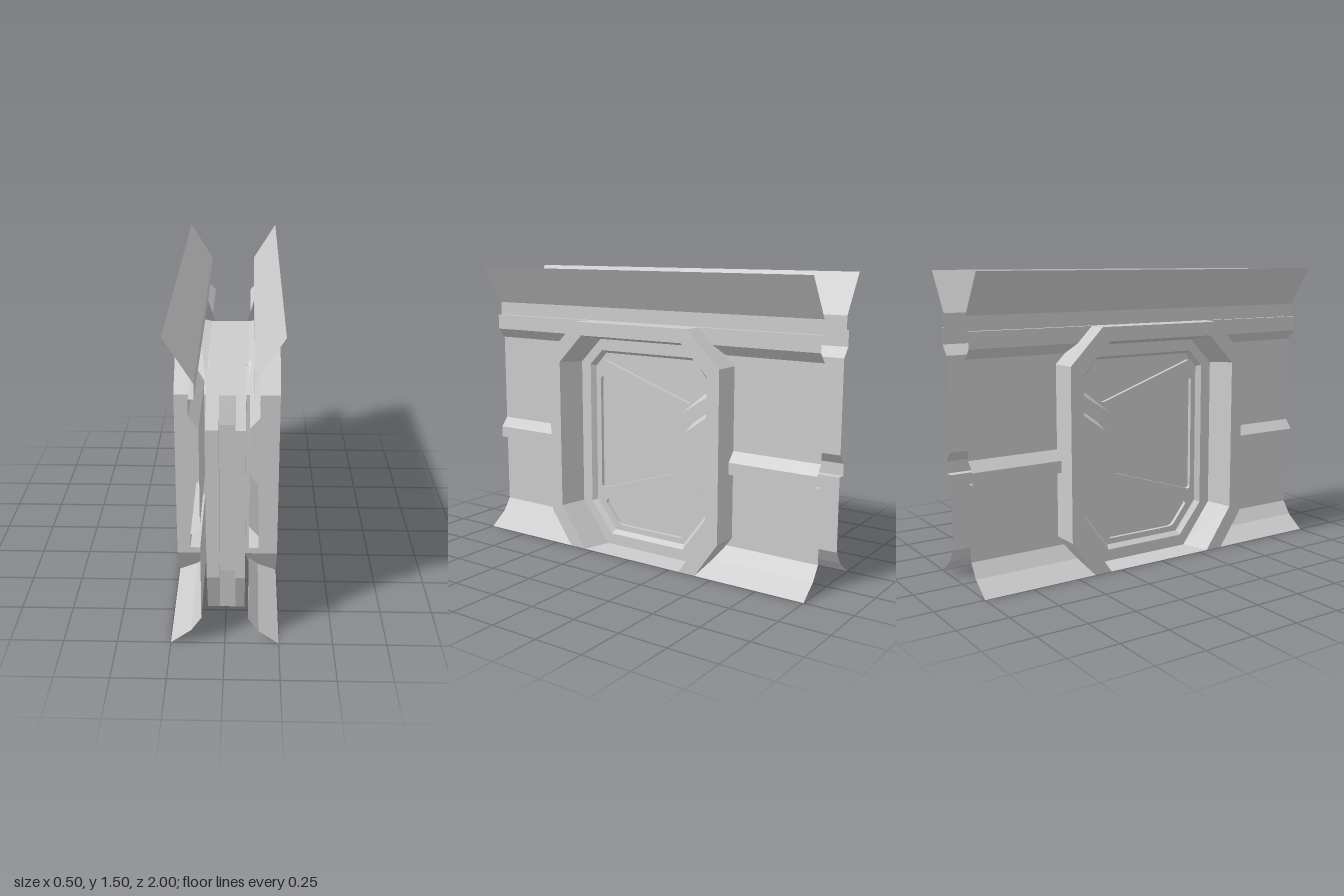
import * as THREE from 'three';

const material = new THREE.MeshStandardMaterial({ color: 0xcccccc, flatShading: true, side: THREE.DoubleSide });

// Outlines are [z, y]; in the drawing plane u = -z and w is the distance along x.
const loop = (pts) => pts.map(([z, y]) => new THREE.Vector2(-z, y)).reverse();

const frameOuter = loop([[0.4, 0], [0.53, 0.185], [0.53, 1.05], [0.35, 1.23],
  [-0.35, 1.23], [-0.53, 1.05], [-0.53, 0.185], [-0.4, 0]]);
const openingOuter = loop([[0.305, 0], [0.46, 0.22], [0.46, 1.01], [0.31, 1.16], [-0.31, 1.16], [-0.46, 1.01],
  [-0.46, 0.81], [-0.34, 0.725], [-0.34, 0.515], [-0.46, 0.41], [-0.46, 0.22], [-0.305, 0]]);
const openingInner = loop([[0.26, 0], [0.43, 0.22], [0.43, 1], [0.3, 1.13], [-0.3, 1.13], [-0.43, 1],
  [-0.43, 0.84], [-0.295, 0.745], [-0.295, 0.49], [-0.43, 0.39], [-0.43, 0.22], [-0.26, 0]]);
const recessOuter = loop([[0.235, 0.06], [0.37, 0.225], [0.37, 0.99], [0.29, 1.07], [-0.29, 1.07], [-0.37, 0.98],
  [-0.37, 0.88], [-0.215, 0.78], [-0.215, 0.46], [-0.37, 0.36], [-0.37, 0.25], [-0.23, 0.06]]);
const recessInner = loop([[0.225, 0.08], [0.35, 0.235], [0.35, 0.98], [0.28, 1.055], [-0.28, 1.055], [-0.35, 0.97],
  [-0.35, 0.895], [-0.235, 0.79], [-0.235, 0.45], [-0.35, 0.35], [-0.35, 0.255], [-0.22, 0.08]].map(([z, y]) => [z, y]));
const windows = [
  [[0.32, 0.3], [0.32, 0.93], [-0.185, 0.775], [-0.185, 0.46]],
  [[0.31, 1.02], [-0.27, 1.02], [-0.315, 0.965], [-0.315, 0.885], [-0.25, 0.83]],
  [[0.2, 0.11], [0.3, 0.235], [-0.2, 0.42], [-0.315, 0.345], [-0.315, 0.23], [-0.21, 0.11]],
].map((pts) => roundLoop(loop(pts), 0.025));

// Replaces each corner of a loop with a small curve
function roundLoop(pts, r) {
  const out = [];
  pts.forEach((p, i) => {
    const prev = pts[(i + pts.length - 1) % pts.length];
    const next = pts[(i + 1) % pts.length];
    const a = p.clone().add(prev.clone().sub(p).setLength(r));
    const b = p.clone().add(next.clone().sub(p).setLength(r));
    out.push(...new THREE.QuadraticBezierCurve(a, p, b).getPoints(4));
  });
  return out;
}

function part(name, geometry) {
  const mesh = new THREE.Mesh(geometry, material);
  mesh.name = name;
  return mesh;
}

// Flat-shaded geometry from quads of corner triples
function quads(list) {
  const pos = [];
  for (const [a, b, c, d] of list) pos.push(...a, ...b, ...c, ...a, ...c, ...d);
  const g = new THREE.BufferGeometry();
  g.setAttribute('position', new THREE.Float32BufferAttribute(pos, 3));
  g.computeVertexNormals();
  return g;
}

// Band joining two loops at distances wa and wb (number or function of the point)
function loft(name, A, wa, B, wb) {
  const at = (p, w) => [p.x, p.y, typeof w === 'function' ? w(p) : w];
  const list = A.map((p, i) => {
    const j = (i + 1) % A.length;
    return [at(p, wa), at(A[j], wa), at(B[j], wb), at(B[i], wb)];
  });
  return part(name, quads(list).rotateY(Math.PI / 2));
}

// Flat plate with optional holes, facing +x
function plate(name, outline, w, holes = []) {
  const shape = new THREE.Shape(outline);
  shape.holes = holes.map((h) => new THREE.Path(h));
  return part(name, new THREE.ShapeGeometry(shape).translate(0, 0, w).rotateY(Math.PI / 2));
}

// Folded sheet: profile points are [x, y, z where the sheet starts]; it runs to z = 1 at both ends
function sheet(name, profile) {
  const list = [];
  for (let i = 0; i < profile.length - 1; i++) {
    const [x0, y0, z0] = profile[i];
    const [x1, y1, z1] = profile[i + 1];
    list.push([[x0, y0, 1], [x0, y0, z0], [x1, y1, z1], [x1, y1, 1]]);
    list.push([[x0, y0, -z0], [x0, y0, -1], [x1, y1, -1], [x1, y1, -z1]]);
  }
  return part(name, quads(list));
}

// Half width of the frame at height y
function frameHalf(y) {
  if (y < 0.185) return 0.4 + 0.13 * y / 0.185;
  return y > 1.05 ? 0.53 - (y - 1.05) : 0.53;
}

function buildSide() {
  const side = new THREE.Group();

  // Wall with skirt, middle rail and upper ridge
  const lower = [[0.25, 0], [0.155, 0.07], [0.107, 0.14], [0.107, 0.185], [0.107, 0.52], [0.15, 0.52], [0.15, 0.58],
    [0.107, 0.63], [0.107, 1.05], [0.107, 1.1], [0.15, 1.15], [0.15, 1.23], [0.125, 1.23]];
  side.add(sheet('wallPanel', lower.map(([x, y]) => [x, y, frameHalf(y)])));
  side.add(sheet('wallTopFlare', [[0.125, 1.23, 0], [0.125, 1.3, 0], [0.25, 1.5, 0]]));

  // Door frame
  const backEdge = (p) => (p.y === 0 || p.y === 1.23 ? 0.125 : 0.09);
  side.add(loft('frameOuterSide', frameOuter, backEdge, frameOuter, 0.25));
  side.add(plate('frameFace', [...frameOuter, ...openingOuter.slice().reverse()], 0.25));
  side.add(loft('frameReveal', openingOuter, 0.25, openingInner, 0.1));

  // Door leaf with stepped recess and sunken panes
  side.add(plate('doorBorder', openingInner, 0.1, [recessOuter]));
  side.add(loft('doorStep', recessOuter, 0.1, recessInner, 0.075));
  side.add(plate('doorPanel', recessInner, 0.075, windows));
  for (const w of windows) {
    side.add(loft('windowEdge', w, 0.075, w, 0.055));
    side.add(plate('windowPane', w, 0.055));
  }
  return side;
}

export function createModel() {
  const model = new THREE.Group();
  model.name = 'wallWithDoor';

  const left = buildSide();
  left.name = 'leftSide';
  const right = buildSide();
  right.name = 'rightSide';
  right.scale.x = -1;
  model.add(left, right);

  // Edge of the door leaf between the two faces
  model.add(loft('doorEdge', openingInner, -0.1, openingInner, 0.1));

  // Door extension running inside the wall, with a groove along its front edge
  for (const [x0, x1, front] of [[-0.09, -0.03, 0.81], [-0.03, 0.045, 0.75], [0.045, 0.09, 0.81]]) {
    const outline = loop([[0.26, 0], [0.43, 0.22], [0.43, 1], [0.3, 1.13],
      [0.72, 1.13], [front, 1], [front, 0.23], [0.72, 0]]);
    const g = new THREE.ExtrudeGeometry(new THREE.Shape(outline), { depth: x1 - x0, bevelEnabled: false });
    model.add(part('doorExtension', g.translate(0, 0, x0).rotateY(Math.PI / 2)));
  }
  return model;
}
